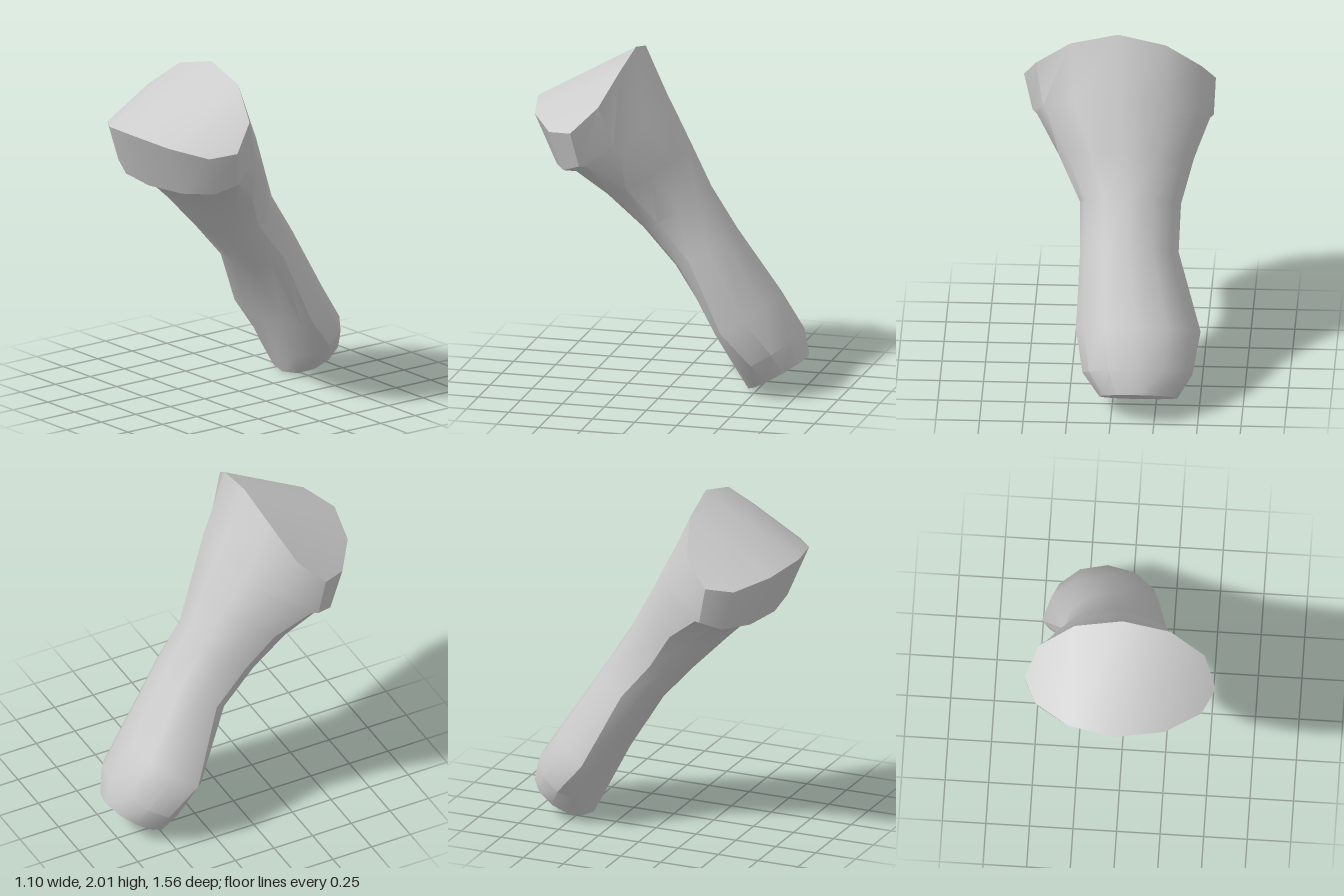
import * as THREE from 'three';
import { toCreasedNormals } from 'three/addons/utils/BufferGeometryUtils.js';

const SIDES = 12;

// Cross-sections across the leaning shaft, from foot to head:
// along = distance on the axis, sag = how far the sides drop (times x squared),
// x0/x1 = side limits, mid/front/back = depths of the widest, front and back points.
const SECTIONS = [
  { along: -0.215, sag: 0, x0: -0.38, x1: 0.07, mid: -0.56, front: -0.374, back: -0.77 },
  { along: -0.08, sag: 0, x0: -0.46, x1: 0.17, mid: -0.56, front: -0.39, back: -0.81 },
  { along: 0.17, sag: 0, x0: -0.50, x1: 0.215, mid: -0.51, front: -0.415, back: -0.795 },
  { along: 0.62, sag: 0, x0: -0.365, x1: 0.20, mid: -0.55, front: -0.395, back: -0.775 },
  { along: 0.90, sag: 0, x0: -0.37, x1: 0.21, mid: -0.50, front: -0.335, back: -0.765 },
  { along: 1.17, sag: 0, x0: -0.44, x1: 0.34, mid: -0.48, front: -0.265, back: -0.78 },
  { along: 1.40, sag: 0, x0: -0.52, x1: 0.47, mid: -0.39, front: -0.20, back: -0.797 },
  { along: 1.48, sag: 0.2, x0: -0.54, x1: 0.50, mid: -0.36, front: -0.115, back: -0.80 },
  { along: 1.84, sag: 0.7, x0: -0.55, x1: 0.55, mid: -0.43, front: -0.155, back: -0.826 },
];

// One ring of points, made of a front and a back half ellipse, leaned forward
function ring({ along, sag, x0, x1, mid, front, back }) {
  const points = [];
  for (let i = 0; i < SIDES; i++) {
    const a = (i / SIDES) * Math.PI * 2;
    const s = Math.sin(a);
    const x = (x0 + x1) / 2 + ((x1 - x0) / 2) * Math.cos(a);
    const depth = mid + s * (s > 0 ? front - mid : mid - back);
    const t = along - sag * x * x;
    points.push([x, 0.87 * t - 0.5 * depth, 0.5 * t + 0.87 * depth]);
  }
  return points;
}

// Crosswise strips closing a ring
function capFaces(offset, up) {
  const faces = [];
  const add = (a, b, c) => faces.push(offset + a, offset + (up ? b : c), offset + (up ? c : b));
  const half = SIDES / 2;
  for (let i = 0; i < half; i++) {
    const back = (SIDES - i) % SIDES;
    const nextBack = SIDES - i - 1;
    if (i > 0) add(i, back, i + 1);
    if (i < half - 1) add(i + 1, back, nextBack);
  }
  return faces;
}

function wallFaces(count) {
  const faces = [];
  for (let j = 0; j < count - 1; j++) {
    for (let i = 0; i < SIDES; i++) {
      const k = (i + 1) % SIDES;
      const a = j * SIDES + i, b = j * SIDES + k;
      const c = b + SIDES, d = a + SIDES;
      faces.push(a, d, b, b, d, c);
    }
  }
  return faces;
}

export function createModel() {
  const group = new THREE.Group();
  group.name = 'leaningClub';
  const material = new THREE.MeshStandardMaterial({ color: 0xcccccc });
  const vertices = SECTIONS.map(ring).flat(2);

  const addPart = (name, faces) => {
    const geometry = new THREE.BufferGeometry();
    geometry.setAttribute('position', new THREE.Float32BufferAttribute(vertices, 3));
    geometry.setIndex(faces);
    const mesh = new THREE.Mesh(toCreasedNormals(geometry, 0.7), material);
    mesh.name = name;
    group.add(mesh);
  };

  // Shaft flaring into the head, with its arched top and flat foot
  addPart('shaftAndHead', wallFaces(SECTIONS.length));
  addPart('archedTop', capFaces((SECTIONS.length - 1) * SIDES, true));
  addPart('flatFoot', capFaces(0, false));
  return group;
}
